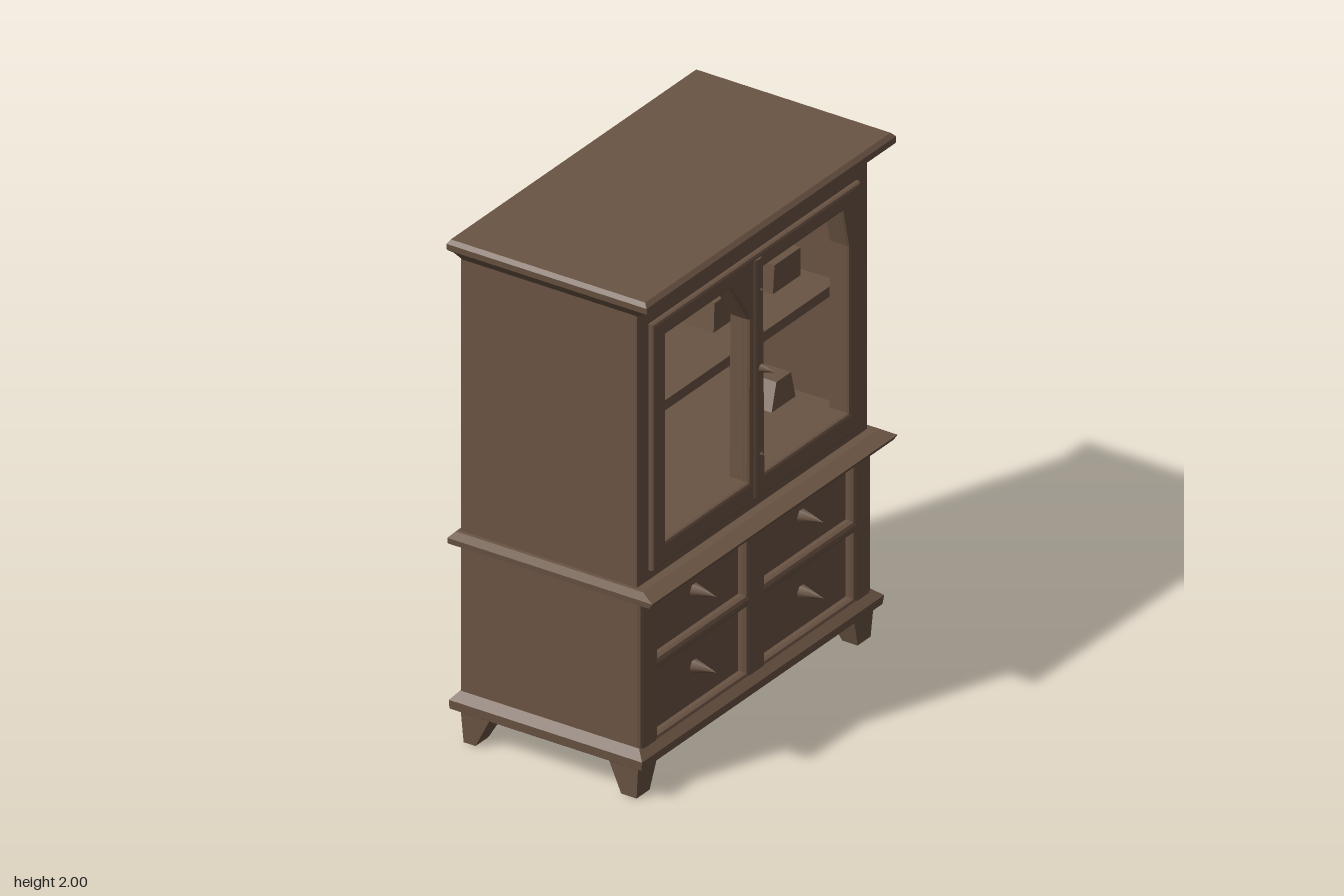
import * as THREE from 'three';

const wood = new THREE.MeshStandardMaterial({ color: 0x6a5443 });
wood.name = 'dark brown wood';

export function createModel() {
  const root = new THREE.Group();
  root.name = 'displayCabinet';

  function add(name, geometry, parent = root) {
    const mesh = new THREE.Mesh(geometry, wood);
    mesh.name = name;
    parent.add(mesh);
    return mesh;
  }

  function box(name, x0, x1, y0, y1, z0, z1) {
    const g = new THREE.BoxGeometry(x1 - x0, y1 - y0, z1 - z0);
    g.translate((x0 + x1) / 2, (y0 + y1) / 2, (z0 + z1) / 2);
    return add(name, g);
  }

  // Stacks rectangular sections [y, x0, x1, z0, z1] from bottom to top, with capped ends
  function loft(name, sections) {
    const pos = [], index = [];
    for (const [y, x0, x1, z0, z1] of sections) {
      pos.push(x0, y, z1, x1, y, z1, x1, y, z0, x0, y, z0);
    }
    for (let s = 0; s < sections.length - 1; s++) {
      for (let i = 0; i < 4; i++) {
        const a = s * 4 + i, b = s * 4 + (i + 1) % 4;
        index.push(a, b, b + 4, a, b + 4, a + 4);
      }
    }
    const t = (sections.length - 1) * 4;
    index.push(0, 2, 1, 0, 3, 2, t, t + 1, t + 2, t, t + 2, t + 3);
    const g = new THREE.BufferGeometry();
    g.setAttribute('position', new THREE.Float32BufferAttribute(pos, 3));
    g.setIndex(index);
    const flat = g.toNonIndexed();
    flat.computeVertexNormals();
    return add(name, flat);
  }

  // Front panel with openings; u runs to the viewer's right (u = -z), bevelled towards +x
  function frame(name, outline, holes, x0, x1, bevel) {
    const toPoints = (list) => list.map(([u, v]) => new THREE.Vector2(u, v));
    const shape = new THREE.Shape(toPoints(outline));
    for (const hole of holes) shape.holes.push(new THREE.Path(toPoints(hole)));
    const g = new THREE.ExtrudeGeometry(shape, {
      depth: x1 - x0 - bevel * 2, bevelEnabled: true, bevelSegments: 2,
      bevelSize: bevel, bevelThickness: bevel, bevelOffset: -bevel,
    });
    g.translate(0, 0, x0 + bevel);
    g.rotateY(Math.PI / 2);
    return add(name, g);
  }
  const rect = (u0, u1, v0, v1) => [[u0, v0], [u1, v0], [u1, v1], [u0, v1]];

  // Cornice and mouldings
  loft('cornice', [
    [1.9, -0.4, 0.33, -0.705, 0.705],
    [1.945, -0.415, 0.39, -0.745, 0.745],
    [1.96, -0.43, 0.415, -0.765, 0.765],
    [1.985, -0.43, 0.415, -0.768, 0.768],
    [2.0, -0.42, 0.4, -0.755, 0.755],
  ]);
  loft('waistMoulding', [
    [0.78, -0.415, 0.36, -0.72, 0.72],
    [0.792, -0.435, 0.415, -0.752, 0.752],
    [0.815, -0.435, 0.43, -0.755, 0.755],
    [0.832, -0.42, 0.37, -0.725, 0.725],
  ]);
  loft('baseMoulding', [
    [0.12, -0.415, 0.35, -0.72, 0.72],
    [0.135, -0.435, 0.375, -0.742, 0.742],
    [0.17, -0.435, 0.38, -0.745, 0.745],
    [0.2, -0.41, 0.345, -0.712, 0.712],
  ]);

  // Lower chest with recessed drawer fronts
  box('lowerBody', -0.408, 0.315, 0.15, 0.8, -0.71, 0.71);
  const drawers = [];
  for (const s of [-1, 1]) {
    for (const [v0, v1] of [[0.21, 0.465], [0.515, 0.73]]) {
      const u0 = s < 0 ? -0.6 : 0.06;
      drawers.push(rect(u0, u0 + 0.54, v0, v1));
    }
  }
  frame('drawerFrame', rect(-0.71, 0.71, 0.17, 0.79), drawers, 0.3, 0.352, 0.018);

  // Drawer knobs
  for (const z of [-0.33, 0.33]) {
    for (const y of [0.35, 0.65]) {
      const knob = new THREE.ConeGeometry(0.028, 0.1, 6);
      knob.rotateZ(-Math.PI / 2);
      knob.translate(0.36, y, z);
      add('drawerKnob', knob);
    }
  }

  // Hollow upper case
  box('upperBack', -0.408, -0.36, 0.81, 1.95, -0.71, 0.71);
  box('upperFloor', -0.38, 0.3, 0.82, 0.95, -0.7, 0.7);
  box('upperCeiling', -0.38, 0.3, 1.8, 1.94, -0.7, 0.7);
  for (const s of [-1, 1]) {
    const inner = s * 0.62, outer = s * 0.71;
    box('upperSide', -0.4, 0.3, 0.81, 1.95, Math.min(inner, outer), Math.max(inner, outer));
  }

  // Face frame and door frame share two window openings
  const windows = [
    [[-0.56, 0.96], [-0.05, 0.96], [-0.045, 1.6], [-0.16, 1.775], [-0.56, 1.775]],
    [[0.05, 0.96], [0.565, 0.96], [0.565, 1.62], [0.53, 1.775], [0.04, 1.775]],
  ];
  frame('faceFrame', rect(-0.71, 0.71, 0.82, 1.94), windows, 0.27, 0.335, 0.006);
  frame('doorFrame', rect(-0.64, 0.64, 0.87, 1.845), windows, 0.32, 0.357, 0.012);

  // Rounded stile between the doors
  const stile = new THREE.CylinderGeometry(0.036, 0.036, 0.94, 10);
  stile.scale(0.7, 1, 1);
  stile.translate(0.34, 1.355, 0);
  add('centreStile', stile);

  // Door handle and hinge tips along the stile
  for (const [y, tip] of [[1.39, 0.42], [1.7, 0.375], [1.05, 0.378]]) {
    const handle = new THREE.ConeGeometry(0.026, tip - 0.33, 6);
    handle.rotateZ(-Math.PI / 2);
    handle.translate((tip + 0.33) / 2, y, -0.01);
    add('doorHandle', handle);
  }

  // Shelf and the small things kept inside
  box('shelf', -0.37, 0.27, 1.395, 1.435, -0.63, 0.63);
  loft('shelfDish', [[1.43, -0.02, 0.14, 0.25, 0.39], [1.485, 0.02, 0.1, 0.28, 0.35]]);
  loft('shelfJar', [[1.43, 0, 0.13, -0.19, -0.06], [1.54, 0.01, 0.12, -0.18, -0.08]]);
  loft('shelfBox', [[1.43, -0.02, 0.14, -0.58, -0.41], [1.545, -0.02, 0.14, -0.58, -0.42]]);
  loft('floorBowl', [[0.945, -0.2, 0.1, 0.36, 0.6], [1.12, -0.15, 0, 0.53, 0.6]]);
  loft('floorBox', [[0.945, -0.05, 0.12, -0.58, -0.43], [1.04, -0.03, 0.1, -0.58, -0.49]]);

  // Tapered feet
  for (const s of [-1, 1]) {
    const span = (a, b) => (s > 0 ? [a, b] : [-b, -a]);
    loft('backFoot', [
      [0.005, -0.39, -0.34, ...span(0.64, 0.72)],
      [0.14, -0.4, -0.27, ...span(0.6, 0.725)],
    ]);
    loft('frontFoot', [
      [0.005, 0.275, 0.34, ...span(0.64, 0.72)],
      [0.14, 0.22, 0.35, ...span(0.6, 0.725)],
    ]);
  }
  root.position.y = -0.002;
  return root;
}
